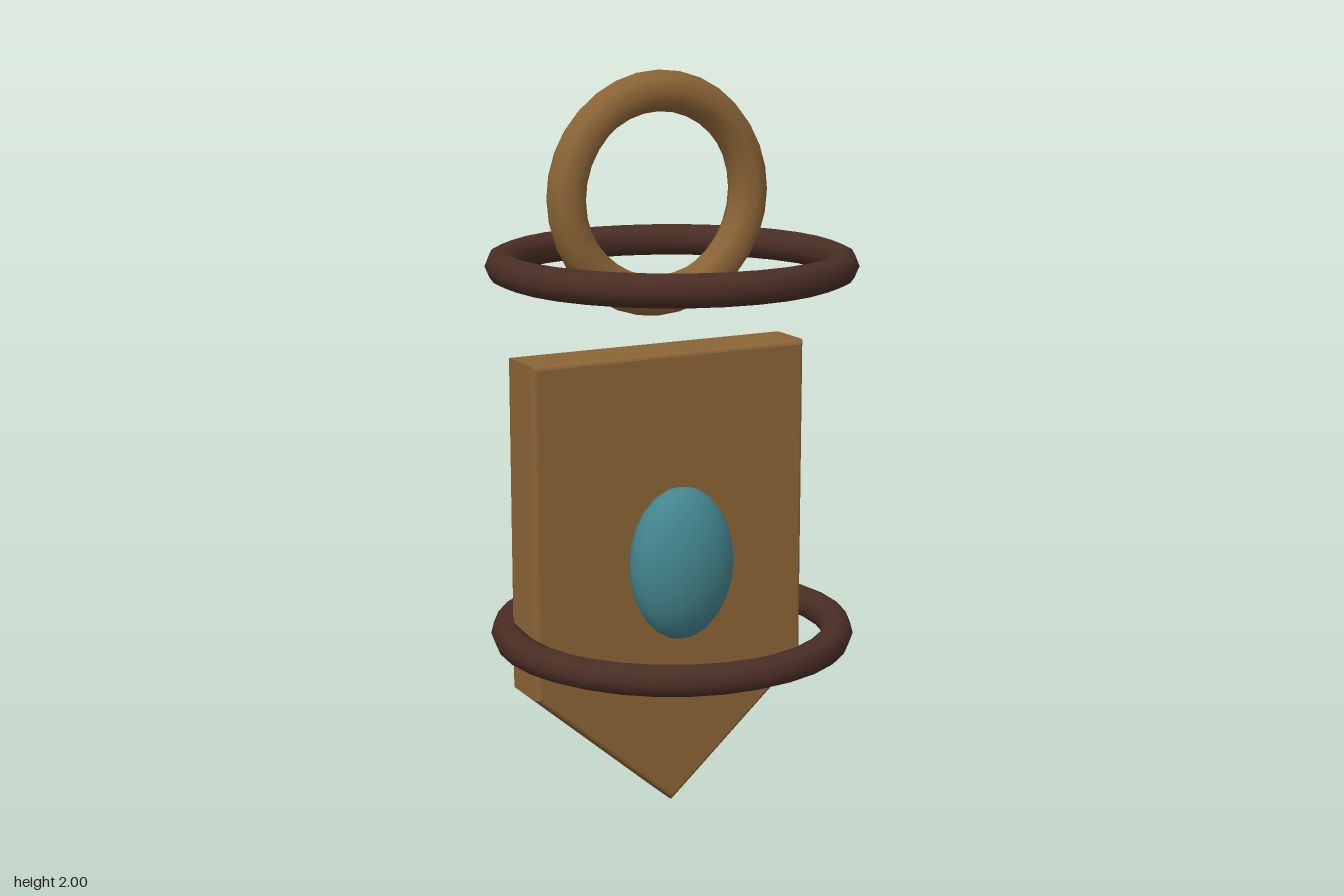
import * as THREE from 'three';

const material = (name, color) => {
  const m = new THREE.MeshStandardMaterial({ color });
  m.name = name;
  return m;
};

export function createModel() {
  const group = new THREE.Group();
  const bronze = material('bronze', 0x8b6436);
  const leather = material('dark leather', 0x4a2e25);
  const teal = material('teal stone', 0x43858e);

  const add = (name, geometry, mat, x, y, z) => {
    const mesh = new THREE.Mesh(geometry, mat);
    mesh.name = name;
    mesh.position.set(x, y, z);
    group.add(mesh);
    return mesh;
  };

  // Pointed plate with a softly bevelled rim
  const bevel = 0.012, thick = 0.02, depth = 0.16;
  const w = 0.408 - bevel;
  const outline = new THREE.Shape([
    [-w, 1.264 - bevel], [-w, 0.363], [0, 0.02], [w, 0.363], [w, 1.264 - bevel],
  ].map(([x, y]) => new THREE.Vector2(x, y)));
  const plate = new THREE.ExtrudeGeometry(outline, {
    depth: depth - 2 * thick, bevelEnabled: true,
    bevelSize: bevel, bevelThickness: thick, bevelSegments: 3,
  });
  add('plate', plate, bronze, 0, 0, -0.155 + thick);

  // Oval stone set in the front of the plate
  const stone = new THREE.SphereGeometry(0.15, 16, 12);
  stone.scale(1, 1.4, 0.667);
  add('stone', stone, teal, 0, 0.7, 0.054);

  // Upright hanging ring
  add('hangingRing', new THREE.TorusGeometry(0.27, 0.054, 8, 32), bronze, 0, 1.676, -0.074);

  // Two level bands
  for (const [name, y] of [['upperBand', 1.502], ['lowerBand', 0.504]]) {
    const band = new THREE.TorusGeometry(0.447, 0.043, 8, 32);
    band.rotateX(Math.PI / 2);
    add(name, band, leather, 0, y, 0);
  }
  return group;
}
